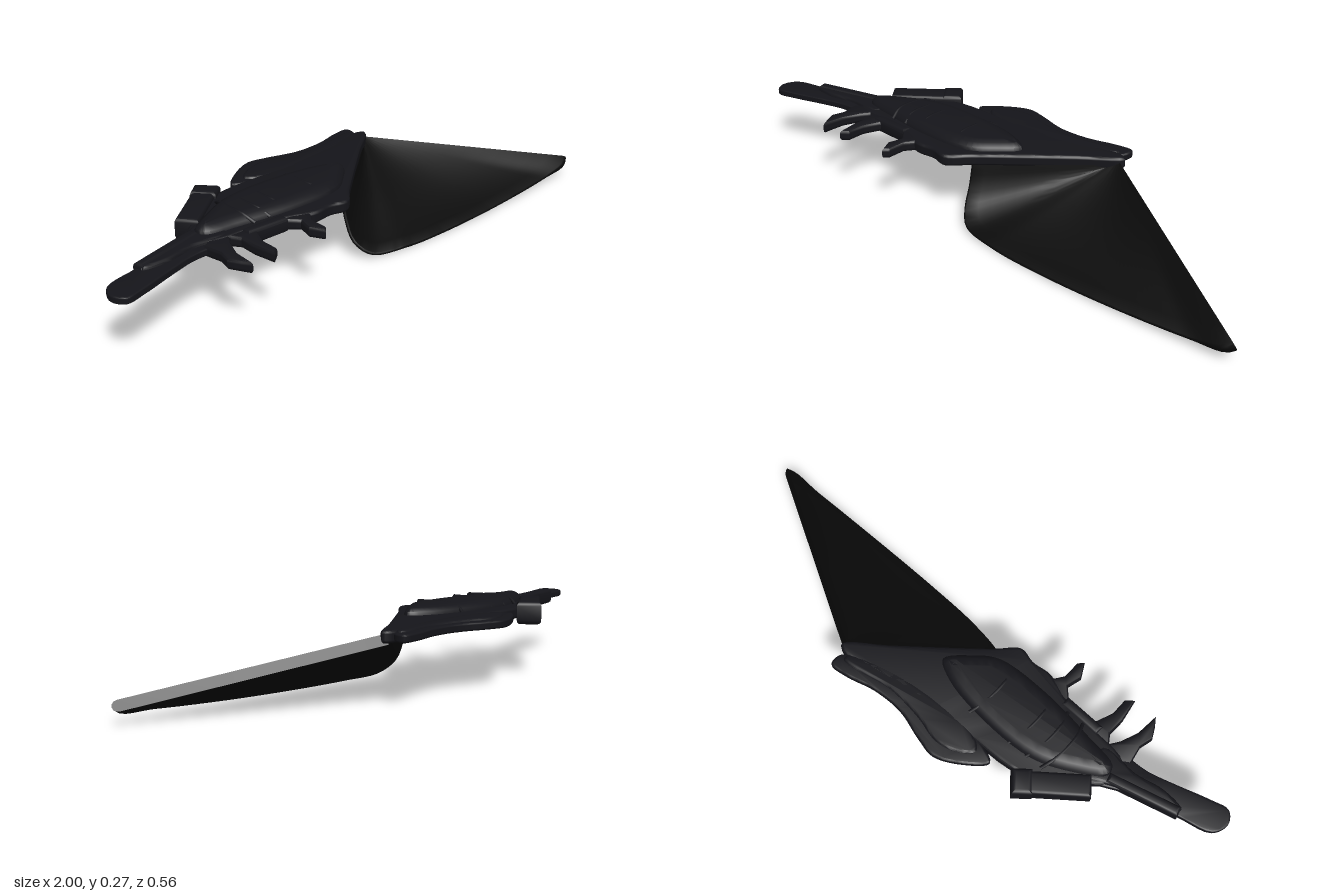
import * as THREE from 'three';
import { toCreasedNormals } from 'three/addons/utils/BufferGeometryUtils.js';

const MID = 0.222; // height of the weapon's middle plane
const bodyMat = new THREE.MeshStandardMaterial({ color: 0x15151a });
const bladeMat = new THREE.MeshStandardMaterial({ color: 0x090909, side: THREE.DoubleSide });

// Flat plate lying in x-z: outline of [x, z], total thickness, bevelled on both faces
function plate(name, pts, thick, { bevel = thick * 0.25, inset = bevel, smooth = true } = {}) {
  let outline = pts.map(([x, z]) => new THREE.Vector2(x, z));
  if (smooth) {
    const curve = new THREE.CatmullRomCurve3(pts.map(([x, z]) => new THREE.Vector3(x, z, 0)), true, 'centripetal');
    outline = curve.getPoints(pts.length * 5).slice(0, -1).map(p => new THREE.Vector2(p.x, p.y));
  }
  const depth = thick - 2 * bevel;
  const geo = new THREE.ExtrudeGeometry(new THREE.Shape(outline), {
    depth, bevelThickness: bevel, bevelSize: inset, bevelOffset: -inset, bevelSegments: 3,
  });
  geo.translate(0, 0, -depth / 2);
  geo.rotateX(Math.PI / 2);
  const mesh = new THREE.Mesh(toCreasedNormals(geo, 0.6), bodyMat);
  mesh.position.y = MID;
  mesh.name = name;
  return mesh;
}

// Straight bevelled bar between two [x, z] points
function bar(name, [x0, z0], [x1, z1], width, thick, bevel = 0.012) {
  const len = Math.hypot(x1 - x0, z1 - z0);
  const nx = -(z1 - z0) / len * width / 2, nz = (x1 - x0) / len * width / 2;
  const pts = [[x0 + nx, z0 + nz], [x1 + nx, z1 + nz], [x1 - nx, z1 - nz], [x0 - nx, z0 - nz]];
  return plate(name, pts, thick, { smooth: false, bevel });
}

// Thin rib bent over the core; side is 1 above and -1 below
function rib(x, side) {
  const path = new THREE.CatmullRomCurve3([
    [0.03, 0.02, -0.095], [0.015, 0.037, -0.06], [0.004, 0.043, 0], [0.004, 0.042, 0.06], [0.016, 0.023, 0.105],
  ].map(([dx, h, z]) => new THREE.Vector3(x + dx, MID + side * h, z)));
  const mesh = new THREE.Mesh(new THREE.TubeGeometry(path, 16, 0.006, 6), bodyMat);
  mesh.name = 'rib';
  return mesh;
}

// Sagging blade: rays fan out from the apex to a thin cutting rim, the spine stays thick
function blade() {
  const apex = new THREE.Vector3(0.305, 0.214, -0.182);
  const rim = new THREE.CatmullRomCurve3([
    [-0.08, 0.2, 0.105], [-0.08, 0.125, 0.122], [-0.074, 0.06, 0.152], [-0.035, 0.018, 0.192], [0.1, 0.006, 0.223],
    [0.3, 0.004, 0.239], [0.6, 0.012, 0.249], [0.88, 0.03, 0.25], [0.96, 0.042, 0.245], [0.986, 0.056, 0.232],
  ].map(p => new THREE.Vector3(...p)), false, 'centripetal');
  const n = 60, steps = 12, arc = 6, pos = [], idx = [];
  let m = 0;
  for (let i = 0; i <= n; i++) {
    const end = rim.getPointAt(i / n);
    const dir = end.clone().sub(apex).normalize();
    const up = dir.clone().cross(rim.getTangentAt(Math.min(i / n, 0.93))).normalize();
    const sag = 0.024 * Math.sin(Math.PI * i / n);
    const at = t => apex.clone().lerp(end, t).add(new THREE.Vector3(0, -sag * Math.sin(Math.PI * t), 0));
    const sharp = 1 - THREE.MathUtils.smoothstep(i / n, 0.88, 1);
    const half = t => 0.018 - 0.012 * sharp * THREE.MathUtils.smoothstep(t, 0.4, 1);
    const profile = [];
    for (let k = 0; k < steps; k++) profile.push(at(k / steps).addScaledVector(up, half(k / steps)));
    for (let k = 0; k <= arc; k++) {
      const a = Math.PI / 2 - Math.PI * k / arc, r = half(1);
      profile.push(end.clone().addScaledVector(dir, r * Math.cos(a)).addScaledVector(up, r * Math.sin(a)));
    }
    for (let k = steps - 1; k >= 0; k--) profile.push(at(k / steps).addScaledVector(up, -half(k / steps)));
    m = profile.length;
    profile.forEach(p => pos.push(p.x, p.y, p.z));
  }
  for (let i = 0; i < n; i++) for (let j = 0; j < m - 1; j++) {
    const a = i * m + j, b = a + m;
    idx.push(a, a + 1, b, a + 1, b + 1, b);
  }
  // close the root edge and the spine edge
  for (let j = 0; j < Math.floor(m / 2); j++) {
    const e = n * m, k = m - 1 - j;
    idx.push(e + j, e + j + 1, e + k, e + j + 1, e + k - 1, e + k);
    idx.push(j, k, j + 1, j + 1, k, k - 1);
  }
  const geo = new THREE.BufferGeometry();
  geo.setAttribute('position', new THREE.Float32BufferAttribute(pos, 3));
  geo.setIndex(idx);
  const mesh = new THREE.Mesh(toCreasedNormals(geo, 0.7), bladeMat);
  mesh.name = 'blade';
  return mesh;
}

export function createModel() {
  const model = new THREE.Group();
  model.name = 'bladedWeapon';

  // Main plate, from the muzzle root to the blade joint
  model.add(plate('bodyPlate', [
    [-0.63, 0.0], [-0.55, -0.06], [-0.44, -0.13], [-0.36, -0.155], [-0.13, -0.155], [0.05, -0.17], [0.2, -0.19],
    [0.3, -0.2], [0.325, -0.18], [0.2, -0.085], [0.05, 0.03], [-0.07, 0.125], [-0.14, 0.185], [-0.2, 0.172],
    [-0.27, 0.175], [-0.36, 0.14], [-0.47, 0.12], [-0.63, 0.09],
  ], 0.04));

  // Thin tapering muzzle
  model.add(plate('muzzle', [
    [-0.58, -0.02], [-0.7, 0.02], [-0.86, 0.06], [-0.975, 0.088], [-1, 0.14], [-0.975, 0.18], [-0.91, 0.17],
    [-0.8, 0.14], [-0.71, 0.118], [-0.58, 0.1],
  ], 0.022));
  model.add(plate('muzzleSleeve', [
    [-0.55, -0.03], [-0.66, 0.01], [-0.84, 0.06], [-0.86, 0.085], [-0.78, 0.1], [-0.68, 0.085], [-0.55, 0.09],
  ], 0.045));
  model.add(bar('topRail', [-0.86, 0.072], [-0.62, 0.018], 0.035, 0.056));

  // Swollen core with raised ribs above and below
  model.add(plate('core', [
    [-0.62, 0.02], [-0.53, -0.04], [-0.4, -0.09], [-0.2, -0.09], [-0.03, -0.055], [0.035, -0.01], [-0.03, 0.06],
    [-0.11, 0.11], [-0.3, 0.115], [-0.5, 0.085], [-0.61, 0.06],
  ], 0.094, { bevel: 0.032, inset: 0.045 }));
  [-0.47, -0.41, -0.34, -0.18].forEach(x => model.add(rib(x, 1), rib(x, -1)));
  model.add(bar('lowerGrille', [-0.51, 0.122], [-0.36, 0.132], 0.035, 0.05));

  // Wavy stock on the back edge, with a raised inner layer
  model.add(plate('stock', [
    [-0.305, -0.18], [-0.24, -0.24], [-0.15, -0.28], [-0.08, -0.266], [0.03, -0.232], [0.14, -0.232],
    [0.24, -0.254], [0.305, -0.255], [0.3, -0.208], [0.2, -0.17], [0.06, -0.13], [-0.1, -0.14], [-0.24, -0.15],
  ], 0.027));
  model.add(plate('stockLayer', [
    [-0.25, -0.185], [-0.2, -0.225], [-0.13, -0.24], [-0.03, -0.215], [0.1, -0.2], [0.28, -0.222],
    [0.28, -0.195], [0.1, -0.14], [-0.1, -0.13], [-0.22, -0.15],
  ], 0.04));

  // Angled box on the back edge, with its end collar
  model.add(bar('sideBox', [-0.6, -0.04], [-0.41, -0.18], 0.075, 0.07));
  model.add(bar('sideBoxCollar', [-0.45, -0.148], [-0.397, -0.19], 0.085, 0.08, 0.015));

  // Three hooked spikes on the front edge
  [
    [[-0.6, 0.07], [-0.65, 0.1], [-0.641, 0.165], [-0.655, 0.21], [-0.637, 0.25], [-0.618, 0.28], [-0.607, 0.2], [-0.58, 0.14], [-0.55, 0.1]],
    [[-0.57, 0.09], [-0.54, 0.14], [-0.545, 0.2], [-0.535, 0.28], [-0.508, 0.26], [-0.505, 0.2], [-0.48, 0.145], [-0.44, 0.11]],
    [[-0.38, 0.13], [-0.338, 0.18], [-0.354, 0.23], [-0.33, 0.28], [-0.312, 0.262], [-0.308, 0.2], [-0.27, 0.15]],
  ].forEach(pts => model.add(plate('spike', pts, 0.036, { bevel: 0.012, inset: 0.008, smooth: false })));

  model.add(blade());
  return model;
}
